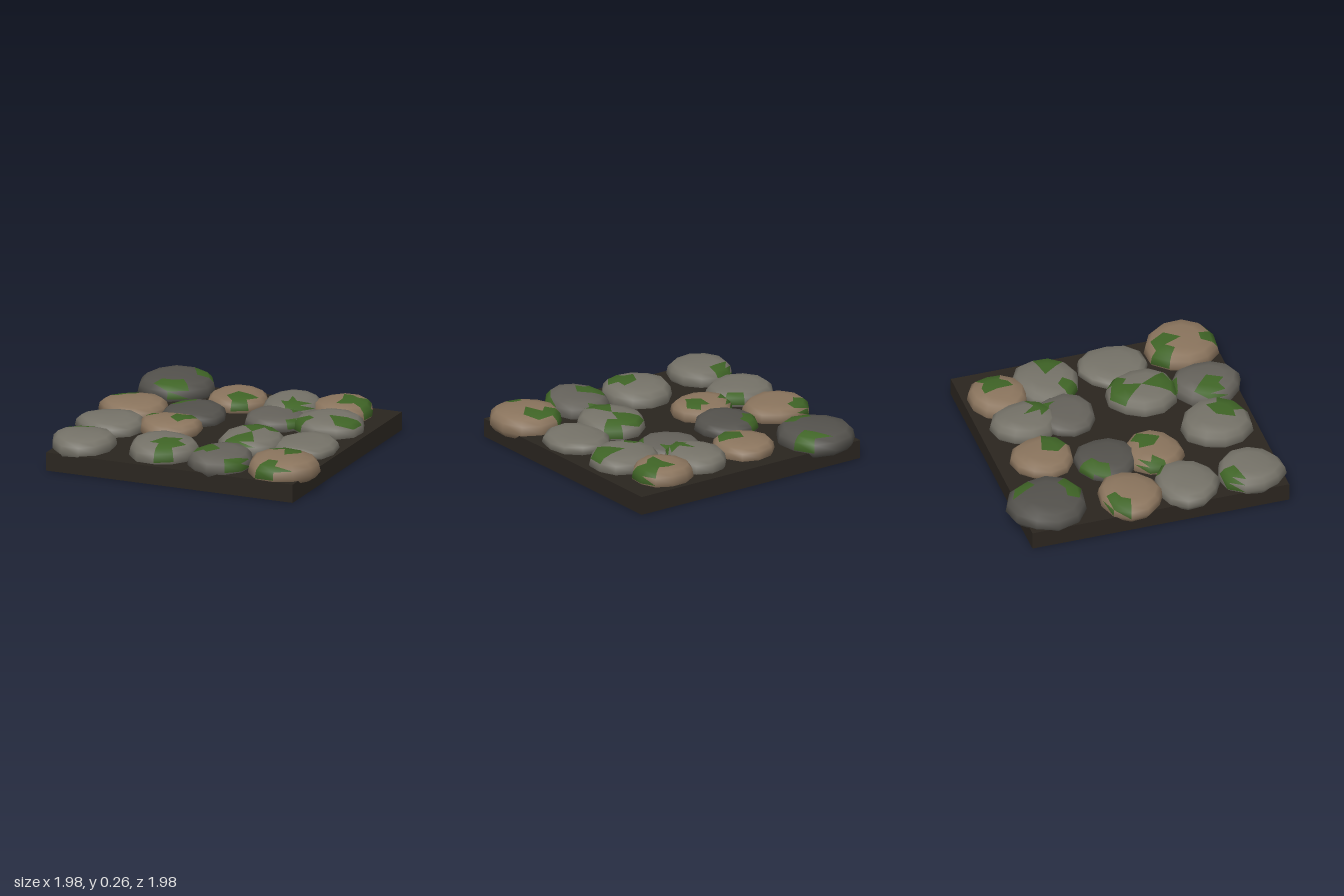
import * as THREE from 'three';
import { mergeVertices } from 'three/addons/utils/BufferGeometryUtils.js';

const material = (color) => new THREE.MeshStandardMaterial({ color });

const materials = {
  grey: material(0x757268),
  brown: material(0x8a745d),
  dark: material(0x53514c),
  slate: material(0x65625b),
  moss: material(0x3f6426),
  soil: material(0x2a251f),
};

// Half outline of a cobble: radius and height, widest at height 0
const profile = [[0, -0.068], [0.6, -0.066], [0.86, -0.045], [1, 0], [0.955, 0.5], [0.82, 0.82], [0.52, 0.97], [0, 1]]
  .map(([r, y]) => new THREE.Vector2(r, y));
const RIM = 0.145;

// Cobbles by tone: x, z, radius in x, radius in z, top height
const greyStones = [
  [0.24, -0.585, 0.205, 0.24, 0.245], [0.635, -0.305, 0.253, 0.233, 0.24],
  [-0.745, 0.27, 0.245, 0.223, 0.235], [-0.74, 0.73, 0.223, 0.238, 0.245],
  [-0.165, 0.665, 0.245, 0.252, 0.255], [0.32, 0.285, 0.233, 0.255, 0.25],
  [0.68, 0.19, 0.227, 0.248, 0.215],
];
const brownStones = [
  [-0.165, -0.585, 0.215, 0.223, 0.23], [0.575, -0.665, 0.217, 0.21, 0.245],
  [-0.755, -0.14, 0.243, 0.223, 0.235], [-0.345, 0.16, 0.222, 0.205, 0.235],
  [0.745, 0.7, 0.25, 0.26, 0.255],
];
const darkStones = [[-0.68, -0.715, 0.27, 0.283, 0.255], [-0.315, -0.175, 0.225, 0.223, 0.225]];
const slateStones = [[0.25, -0.29, 0.222, 0.215, 0.22], [0.285, 0.735, 0.22, 0.245, 0.25]];

// Moss patches: x, z
const MOSS_REACH = 0.085;
const mossSpots = [
  [-0.52, -0.86], [-0.63, -0.53], [-0.1, -0.47], [0.31, -0.45], [0.61, -0.67], [0.74, -0.68],
  [0.49, -0.18], [0.78, -0.25], [-0.88, -0.25], [-0.46, -0.29], [-0.28, 0.13], [-0.55, 0.09],
  [-0.81, 0.57], [-0.11, 0.74], [-0.09, 0.86], [0.17, 0.73], [0.48, 0.86],
  [0.62, 0.55], [0.74, 0.56], [0.73, 0.92], [0.28, 0.13], [0.4, 0.13], [0.3, 0.44],
];

// Flattened rounded stone with slightly uneven sides and smooth normals
function cobbleGeometry(rx, rz, top, seed) {
  const lathe = new THREE.LatheGeometry(profile, 11);
  lathe.deleteAttribute('uv');
  lathe.deleteAttribute('normal');
  const geometry = mergeVertices(lathe, 1e-4);
  const p = geometry.attributes.position;
  for (let i = 0; i < p.count; i++) {
    const a = Math.atan2(p.getZ(i), p.getX(i));
    const radius = Math.hypot(p.getX(i), p.getZ(i));
    const r = radius * (1 + 0.02 * Math.sin(3 * a + seed * 2.1) + 0.015 * Math.sin(5 * a + seed * 4.7));
    const y = p.getY(i);
    const rise = y > 0 ? y * (top - RIM) : y;
    const sag = 0.008 * Math.sin(a * 2 + seed) * radius;
    // a turn per stone keeps the facets from lining up
    p.setXYZ(i, rx * r * Math.cos(a + seed), RIM + rise + sag, rz * r * Math.sin(a + seed));
  }
  geometry.computeVertexNormals();
  return geometry;
}

// Sort the faces into bare stone and moss, sharing one set of vertices
function splitFaces(geometry, x, z) {
  const p = geometry.attributes.position;
  const ids = geometry.index.array;
  const faces = { stone: [], mossPatch: [] };
  for (let i = 0; i < ids.length; i += 3) {
    const tri = [ids[i], ids[i + 1], ids[i + 2]];
    if (new Set(tri).size < 3) continue;
    const mid = (get) => tri.reduce((sum, v) => sum + p[get](v), 0) / 3;
    const mossy = mid('getY') > RIM + 0.01
      && mossSpots.some(([sx, sz]) => Math.hypot(x + mid('getX') - sx, z + mid('getZ') - sz) < MOSS_REACH);
    faces[mossy ? 'mossPatch' : 'stone'].push(...tri);
  }
  return faces;
}

function addCobbles(model, stones, tone) {
  stones.forEach(([x, z, rx, rz, top], n) => {
    const cobble = new THREE.Group();
    cobble.name = `${tone}Cobble${n + 1}`;
    cobble.position.set(x, 0, z);
    const geometry = cobbleGeometry(rx, rz, top, n * 1.3 + 0.4);
    for (const [part, index] of Object.entries(splitFaces(geometry, x, z))) {
      if (!index.length) continue;
      const mesh = new THREE.Mesh(geometry.clone().setIndex(index), materials[part === 'stone' ? tone : 'moss']);
      mesh.name = part;
      cobble.add(mesh);
    }
    model.add(cobble);
  });
}

export function createModel() {
  const model = new THREE.Group();
  model.name = 'cobblestonePaving';

  // Earth slab
  const slab = new THREE.Mesh(new THREE.BoxGeometry(1.84, 0.13, 1.84), materials.soil);
  slab.name = 'earthSlab';
  slab.position.set(-0.003, 0.065, 0.027);
  model.add(slab);

  // Cobbles with their moss patches
  addCobbles(model, greyStones, 'grey');
  addCobbles(model, brownStones, 'brown');
  addCobbles(model, darkStones, 'dark');
  addCobbles(model, slateStones, 'slate');
  return model;
}
